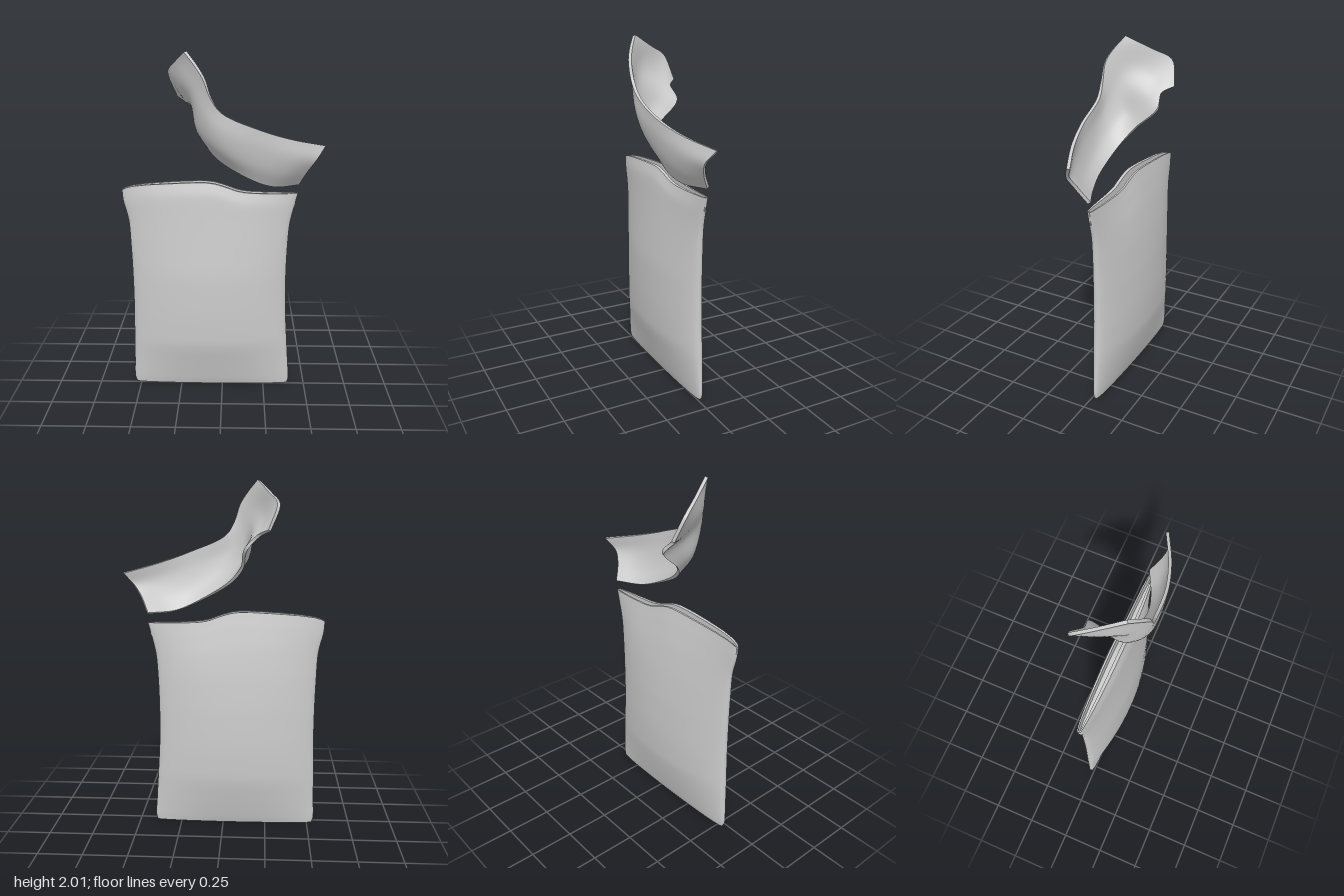
import * as THREE from 'three';
import { toCreasedNormals } from 'three/addons/utils/BufferGeometryUtils.js';

const V = (x, y, z) => new THREE.Vector3(x, y, z);
const curve = (pts) => new THREE.CatmullRomCurve3(pts.map((p) => V(...p)));

// Flatten a ring onto its middle line, to close an end
const collapse = (ring) =>
  ring.map((p, k) => p.clone().add(ring[ring.length - 1 - k]).multiplyScalar(0.5));

// Skin a list of closed rings
function loft(name, rings, crease) {
  const n = rings[0].length;
  const index = [];
  for (let i = 0; i < rings.length - 1; i++) {
    for (let k = 0; k < n; k++) {
      const a = i * n + k, b = i * n + (k + 1) % n;
      index.push(a, a + n, b, b, a + n, b + n);
    }
  }
  const geo = new THREE.BufferGeometry().setFromPoints(rings.flat());
  geo.setIndex(index);
  const mesh = new THREE.Mesh(
    toCreasedNormals(geo, crease),
    new THREE.MeshStandardMaterial({ color: 0xcccccc, side: THREE.DoubleSide })
  );
  mesh.name = name;
  return mesh;
}

// Flat pouch: puffed in the middle, pinched at the bottom, torn open at the top
function pouch() {
  // Per row: height, right edge, left edge / front depth, back depth
  const edges = curve([
    [0, -0.53, 0.4], [0.03, -0.54, 0.407], [0.15, -0.538, 0.4], [0.3, -0.535, 0.39],
    [0.5, -0.53, 0.378], [0.7, -0.53, 0.375], [0.9, -0.535, 0.38], [1.05, -0.543, 0.39],
    [1.18, -0.57, 0.415], [1.25, -0.575, 0.432],
  ]);
  const depths = curve([
    [0, 0.01, -0.05], [0, 0.02, -0.06], [0, 0.05, -0.09], [0, 0.083, -0.118],
    [0, 0.09, -0.125], [0, 0.088, -0.12], [0, 0.07, -0.105], [0, 0.055, -0.085],
    [0, 0.042, -0.06], [0, 0.022, -0.045],
  ]);
  const topEdge = new THREE.SplineCurve([
    [-0.58, 1.225], [-0.5, 1.25], [-0.3, 1.268], [-0.08, 1.275],
    [0.02, 1.25], [0.12, 1.22], [0.25, 1.212], [0.44, 1.21],
  ].map((p) => new THREE.Vector2(...p))).getPoints(100);
  const topAt = (x) => (topEdge.find((p) => p.x >= x) ?? topEdge[100]).y;

  const rows = 54, n = 72, mid = -0.02, rim = 0.02;
  const rings = [];
  for (let i = 0; i <= rows; i++) {
    const e = edges.getPoint(i / rows), d = depths.getPoint(i / rows);
    const ring = [];
    for (let k = 0; k < n; k++) {
      const t = ((k + 0.5) / n) * Math.PI * 2;
      const s = Math.abs(Math.sin(t));
      const x = (e.y + e.z) / 2 + Math.cos(t) * (e.z - e.y) / 2;
      const half = Math.sin(t) > 0 ? d.y - mid : d.z - mid;
      const z = mid + Math.sign(half) * (rim * s ** 0.4 + (Math.abs(half) - rim) * s ** 1.5);
      const y = e.x + (topAt(x) - 1.25) * THREE.MathUtils.smoothstep(e.x, 0.85, 1.25);
      ring.push(V(x, Math.max(y, 0), z));
    }
    rings.push(ring);
  }
  // Lip of the mouth and the shallow inside
  const lip = rings[rows].map((p) => V(p.x * 0.985, p.y, mid + (p.z - mid) * 0.55));
  const inside = lip.map((p) => V(p.x * 0.98, p.y - 0.08, p.z));
  return loft('pouch', [collapse(rings[0]), ...rings, lip, inside, collapse(inside)], 0.8);
}

// Torn-off strip: a thin curling band, lofted through stations from top to lower edge
function tornStrip() {
  const stations = [
    [[-0.2, 2, 0.1], [-0.265, 1.935, -0.03], [-0.31, 1.87, -0.14], [-0.26, 1.735, -0.175]],
    [[-0.14, 1.93, 0.15], [-0.22, 1.85, 0.04], [-0.24, 1.77, -0.07], [-0.2, 1.7, -0.125]],
    [[-0.1, 1.87, 0.175], [-0.17, 1.78, 0.09], [-0.175, 1.7, -0.03], [-0.135, 1.63, -0.14]],
    [[-0.06, 1.77, 0.178], [-0.11, 1.68, 0.14], [-0.14, 1.58, 0.06], [-0.11, 1.515, -0.02]],
    [[0, 1.69, 0.17], [-0.03, 1.6, 0.165], [-0.04, 1.5, 0.125], [-0.03, 1.42, 0.05]],
    [[0.2, 1.6, 0.155], [0.2, 1.5, 0.15], [0.18, 1.39, 0.125], [0.16, 1.31, 0.08]],
    [[0.38, 1.54, 0.105], [0.38, 1.45, 0.11], [0.34, 1.35, 0.09], [0.29, 1.262, 0.05]],
    [[0.575, 1.49, 0.015], [0.525, 1.42, 0.05], [0.48, 1.35, 0.03], [0.435, 1.257, -0.02]],
  ];
  const along = [0, 1, 2, 3].map((j) => curve(stations.map((s) => s[j])));
  const cols = 56, m = 14, thickness = 0.018;
  const front = [];
  for (let i = 0; i <= cols; i++) {
    const across = new THREE.CatmullRomCurve3(along.map((c) => c.getPoint(i / cols)));
    front.push(across.getPoints(m));
  }
  const rings = front.map((col, i) => {
    const prev = front[Math.max(i - 1, 0)], next = front[Math.min(i + 1, cols)];
    const back = col.map((p, j) => {
      const down = col[Math.min(j + 1, m)].clone().sub(col[Math.max(j - 1, 0)]);
      const normal = down.cross(next[j].clone().sub(prev[j])).normalize();
      return p.clone().addScaledVector(normal, -thickness);
    });
    return [...back, ...col.slice().reverse()];
  });
  return loft('tornStrip', [collapse(rings[0]), ...rings, collapse(rings[cols])], 0.8);
}

export function createModel() {
  const group = new THREE.Group();
  group.name = 'tornPacket';
  group.add(pouch(), tornStrip());
  return group;
}
